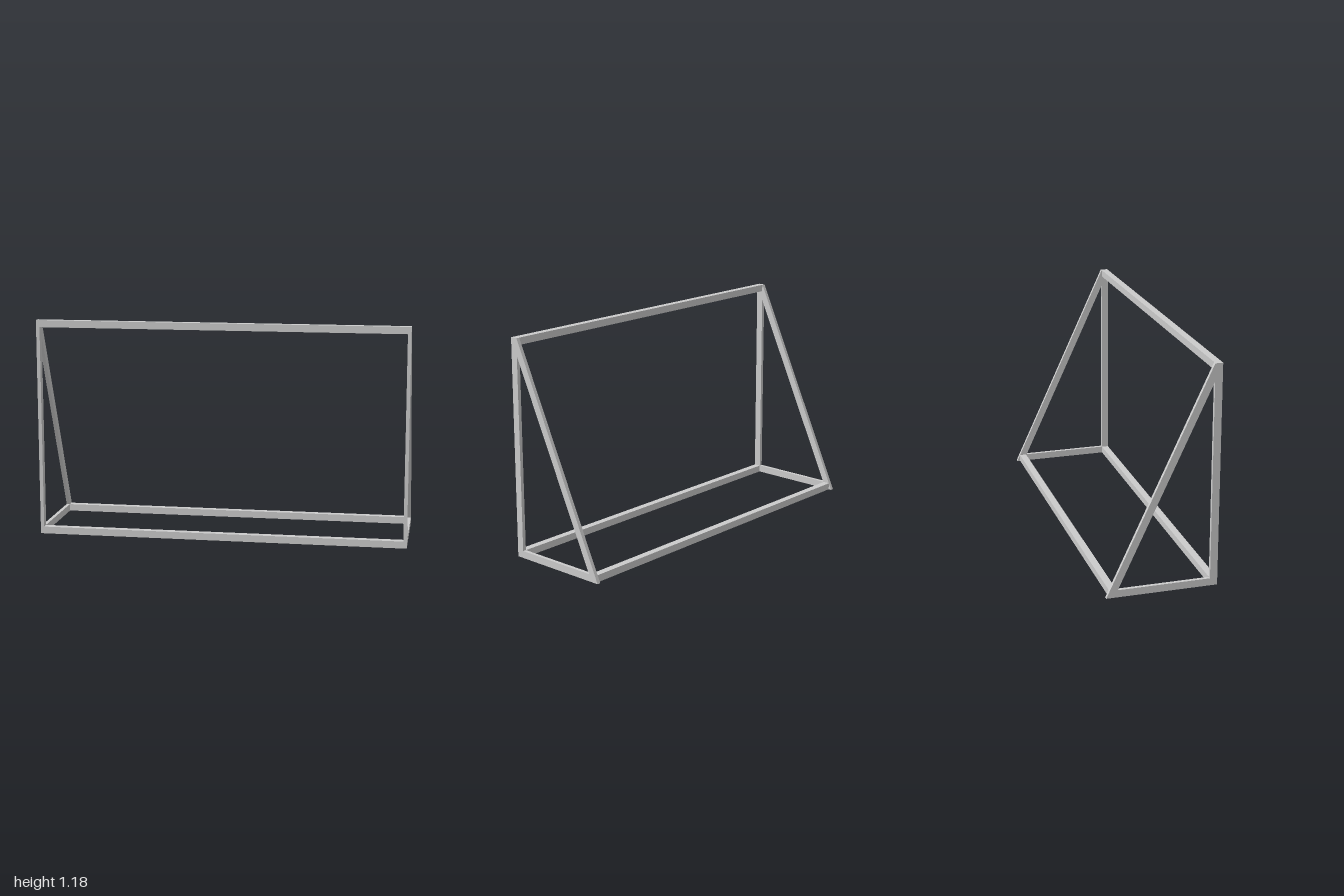
import * as THREE from 'three';

const HALF = 1, PLATE = 0.019, BAR = 0.038;
const HEIGHT = 1.177, FRONT = 0.293;

export function createModel() {
  const group = new THREE.Group();
  const material = new THREE.MeshStandardMaterial({ color: 0xcccccc, flatShading: true });

  const add = (name, geometry, x, y, z) => {
    const mesh = new THREE.Mesh(geometry, material);
    mesh.name = name;
    mesh.position.set(x, y, z);
    group.add(mesh);
  };

  // Triangular side frame, drawn in (z, y) with a triangular opening
  const points = (list) => list.map(([z, y]) => new THREE.Vector2(z, y));
  const profile = new THREE.Shape(points([
    [-FRONT, 0], [FRONT, 0], [FRONT, HEIGHT], [FRONT - 0.04, HEIGHT],
  ]));
  profile.holes.push(new THREE.Path(points([
    [-0.233, 0.039], [0.254, 1.085], [0.254, 0.039],
  ])));
  const side = new THREE.ExtrudeGeometry(profile, { depth: PLATE, bevelEnabled: false });
  side.rotateY(-Math.PI / 2); // now spans x from -PLATE to 0
  add('leftSideFrame', side, HALF, 0, 0);
  add('rightSideFrame', side, -HALF + PLATE, 0, 0);

  // Square rails joining the two side frames
  const rail = new THREE.BoxGeometry(2 * (HALF - PLATE), BAR, BAR);
  add('topRail', rail, 0, HEIGHT - BAR / 2, FRONT - BAR / 2);
  add('frontBottomRail', rail, 0, BAR / 2, FRONT - BAR / 2);
  add('backBottomRail', rail, 0, BAR / 2, -0.256);

  return group;
}
